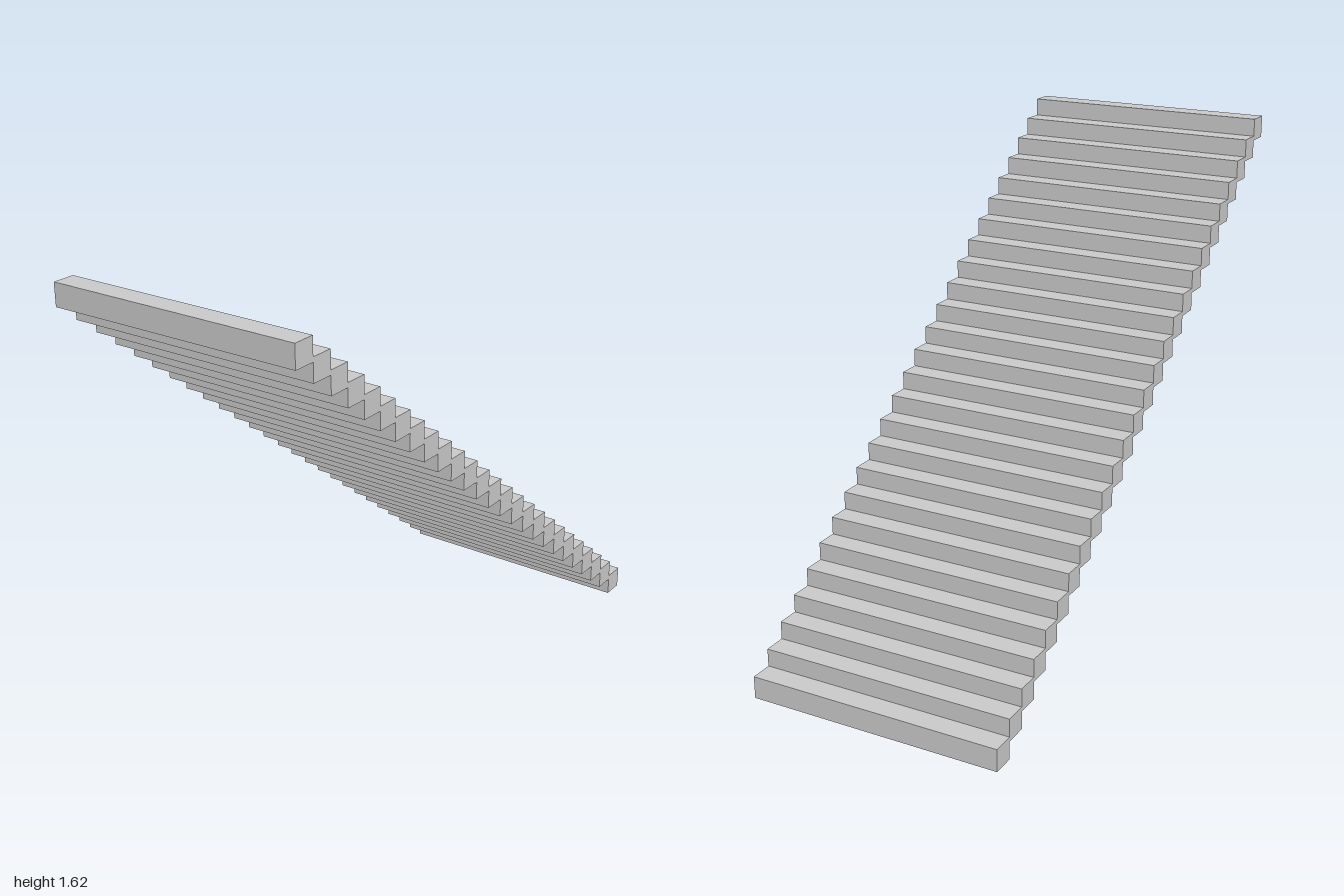
import * as THREE from 'three';

const STEPS = 26;
const TREAD = 2 / STEPS;      // each step is square in section
const RISE = TREAD * 0.8;     // steps overlap a little in height
const WIDTH = TREAD * 11.5;

export function createModel() {
  const staircase = new THREE.Group();
  staircase.name = 'staircase';
  const material = new THREE.MeshStandardMaterial({ color: 0xcccccc, flatShading: true });
  const geometry = new THREE.BoxGeometry(WIDTH, TREAD, TREAD);

  // Solid block steps climbing from the back (-z) to the front (+z)
  for (let i = 0; i < STEPS; i++) {
    const step = new THREE.Mesh(geometry, material);
    step.name = `step${i + 1}`;
    step.position.set(0, TREAD / 2 + i * RISE, -1 + TREAD * (i + 0.5));
    staircase.add(step);
  }
  return staircase;
}
